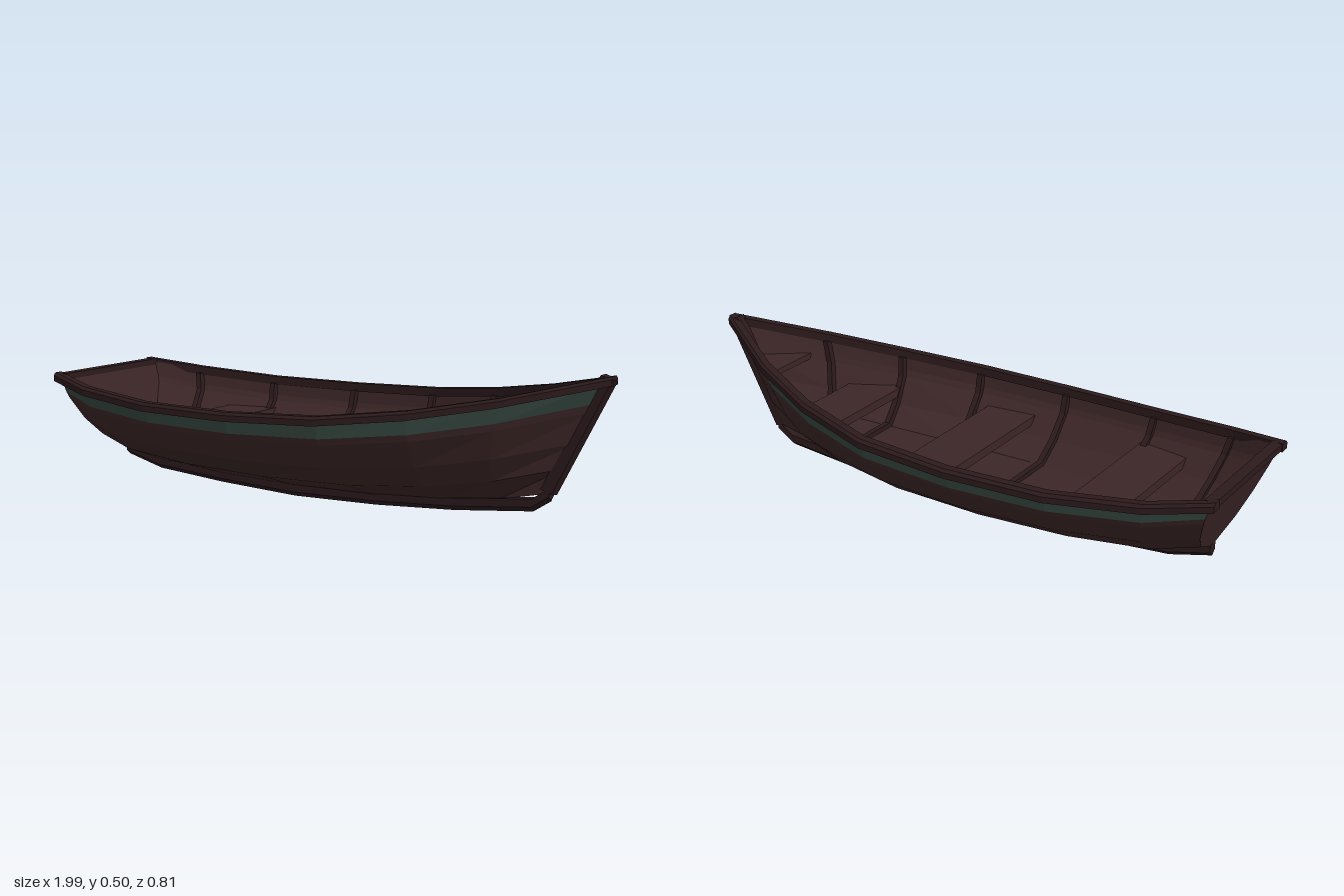
import * as THREE from 'three';

const mat = (name, color, side = THREE.DoubleSide) => {
  const m = new THREE.MeshStandardMaterial({ color, side, flatShading: true });
  m.name = name;
  return m;
};

// Hull stations, stern to bow: sheer x, sheer y, half width, keel x, keel y
const stations = [
  [-0.98, 0.372, 0.25, -0.88, 0.1],
  [-0.8, 0.345, 0.32, -0.74, 0.065],
  [-0.5, 0.325, 0.372, -0.47, 0.045],
  [-0.16, 0.325, 0.387, -0.16, 0.036],
  [0.17, 0.338, 0.367, 0.16, 0.04],
  [0.45, 0.37, 0.29, 0.42, 0.055],
  [0.7, 0.415, 0.18, 0.61, 0.08],
  [0.975, 0.483, 0.004, 0.79, 0.12],
];
// Cross-section: height fraction, width fraction
const section = [[0, 0], [0.22, 0.51], [0.45, 0.77], [0.73, 0.95], [0.8, 0.975], [1, 1]];
const heights = section.map(p => p[0]);
const STRIPE = 0.8;

const widthAt = f => {
  let i = 1;
  while (i < section.length - 1 && f > section[i][0]) i++;
  const [a, b] = [section[i - 1], section[i]];
  return a[1] + (b[1] - a[1]) * (f - a[0]) / (b[0] - a[0]);
};

// Point on the hull at a station, height fraction and side, moved inward by inset
function hullPoint([xt, yt, w, xk, yk], f, side, inset = 0) {
  return [
    xk + (xt - xk) * f,
    yk + (yt - yk) * f + inset * (1 - f),
    side * Math.max(0, w * widthAt(f) - inset * Math.min(1, f * 3)),
  ];
}

// Half width of the interior at a given x and y
function halfWidth(x, y) {
  const pts = stations.map(s => hullPoint(s, Math.min(1, (y - s[4]) / (s[1] - s[4])), 1, 0.014));
  let i = 1;
  while (i < pts.length - 1 && x > pts[i][0]) i++;
  const [a, b] = [pts[i - 1], pts[i]];
  return Math.max(0, a[2] + (b[2] - a[2]) * (x - a[0]) / (b[0] - a[0]));
}

function fromTriangles(tris) {
  const g = new THREE.BufferGeometry();
  g.setAttribute('position', new THREE.Float32BufferAttribute(tris.flat(2), 3));
  g.computeVertexNormals();
  return g;
}

function gridTriangles(rows) {
  const t = [];
  for (let i = 0; i < rows.length - 1; i++)
    for (let j = 0; j < rows[i].length - 1; j++) {
      const a = rows[i][j], b = rows[i + 1][j], c = rows[i + 1][j + 1], d = rows[i][j + 1];
      t.push([a, b, c], [a, c, d]);
    }
  return t;
}

// Open surface through rows of points
const surface = (rows, flip = false) =>
  fromTriangles(gridTriangles(rows).map(t => (flip ? [t[0], t[2], t[1]] : t)));

// Closed bar through rings of points, capped and turned outward
function bar(rings) {
  const t = gridTriangles(rings.map(r => [...r, r[0]]));
  const first = rings[0], last = rings[rings.length - 1];
  for (let k = 1; k < first.length - 1; k++)
    t.push([first[0], first[k], first[k + 1]], [last[0], last[k + 1], last[k]]);
  const volume = t.reduce((v, [a, b, c]) => v +
    a[0] * (b[1] * c[2] - b[2] * c[1]) + a[1] * (b[2] * c[0] - b[0] * c[2]) +
    a[2] * (b[0] * c[1] - b[1] * c[0]), 0);
  return fromTriangles(volume < 0 ? t.map(([a, b, c]) => [a, c, b]) : t);
}

export function createModel() {
  const boat = new THREE.Group();
  boat.name = 'rowingBoat';
  const wood = mat('dark brown wood', 0x3c2627);
  const trim = mat('darker trim wood', 0x2c1a1c);
  const paint = mat('green stripe paint', 0x34453f);
  const add = (name, geometry, material) => {
    const m = new THREE.Mesh(geometry, material);
    m.name = name;
    boat.add(m);
  };

  // Both sides of a section, from one edge under the keel to the other
  const fullSection = (s, fs, inset) => [
    ...[...fs].reverse().map(f => hullPoint(s, f, -1, inset)),
    ...fs.filter(f => f > 0).map(f => hullPoint(s, f, 1, inset)),
  ];

  // Planking outside and inside
  const lower = heights.filter(f => f <= STRIPE);
  add('outerHull', surface(stations.map(s => fullSection(s, lower, 0))), wood);
  const inner = stations.map((s, i) => i ? s : [s[0] + 0.02, s[1], s[2], s[3] + 0.02, s[4]]);
  add('innerHull', surface(inner.map(s => fullSection(s, heights, 0.012)), true), wood);

  // Painted band below the rail
  for (const side of [-1, 1]) {
    const rows = stations.map(s => [STRIPE, 1].map(f => hullPoint(s, f, side)));
    add('paintedStripe', surface(rows, side < 0), paint);
  }

  // Transom faces and top edge
  const transom = (s, inset) => [-1, 1].map(side => heights.map(f => hullPoint(s, f, side, inset)));
  add('transomOuter', surface(transom(stations[0], 0)), wood);
  add('transomInner', surface(transom(inner[0], 0.008), true), wood);
  const [sx, sy, sw] = stations[0];
  add('transomRail', bar([-sw, sw].map(z => [
    [sx - 0.012, sy - 0.012, z], [sx + 0.024, sy - 0.012, z],
    [sx + 0.024, sy + 0.01, z], [sx - 0.012, sy + 0.01, z],
  ])), trim);

  // Gunwales
  for (const side of [-1, 1]) {
    add('gunwale', bar(stations.map(([x, y, w], i) => {
      const px = i === 0 ? x - 0.015 : i === stations.length - 1 ? x + 0.012 : x;
      return [[-0.02, -0.016], [0.018, -0.016], [0.018, 0.004], [0.008, 0.013], [-0.02, 0.013]]
        .map(([dz, dy]) => [px, y + dy, side * (w + dz)]);
    })), trim);
  }

  // Keel with a pointed underside
  const keel = [[-0.885, 0.07], [-0.74, 0.033], [-0.47, 0.013], [-0.16, 0], [0.16, 0.008],
    [0.45, 0.026], [0.73, 0.056], [0.79, 0.095]];
  add('keel', bar(keel.map(([x, y]) => [
    [x, y + 0.042, 0.018], [x, y + 0.016, 0.018], [x, y, 0], [x, y + 0.016, -0.018], [x, y + 0.042, -0.018],
  ])), trim);

  // Stem post
  add('stem', bar([[0.79, 0.12], [0.98, 0.485]].map(([x, y]) => [
    [x - 0.03, y + 0.012, 0.018], [x + 0.008, y, 0.018], [x + 0.018, y - 0.004, 0],
    [x + 0.008, y, -0.018], [x - 0.03, y + 0.012, -0.018],
  ])), trim);

  // Floor boards
  add('floor', surface(inner.map(s => [-1, 1].map(side => hullPoint(s, 0.25, side, 0.012))), true), wood);

  // Ribs bent across the floor and up the sides
  const ribHeights = [0.26, 0.45, 0.73, 0.96];
  for (const s of stations.slice(1, -1)) {
    const outer = fullSection(s, ribHeights, 0.008), inside = fullSection(s, ribHeights, 0.03);
    add('rib', bar(outer.map((o, k) => {
      const n = inside[k];
      return [[o[0] - 0.01, o[1], o[2]], [o[0] + 0.01, o[1], o[2]],
        [n[0] + 0.01, n[1], n[2]], [n[0] - 0.01, n[1], n[2]]];
    })), trim);
  }

  // Thwarts and the small bow seat, cut to the hull
  const seat = (name, x0, x1, y, thick) => add(name, bar([x0, x1].map(x => {
    const top = halfWidth(x, y), low = halfWidth(x, y - thick);
    return [[x, y, top], [x, y - thick, low], [x, y - thick, -low], [x, y, -top]];
  })), wood);
  seat('sternThwart', -0.65, -0.47, 0.23, 0.03);
  seat('middleThwart', -0.06, 0.12, 0.23, 0.03);
  seat('forwardThwart', 0.43, 0.605, 0.26, 0.03);
  seat('bowSeat', 0.74, 0.9, 0.36, 0.02);

  return boat;
}
